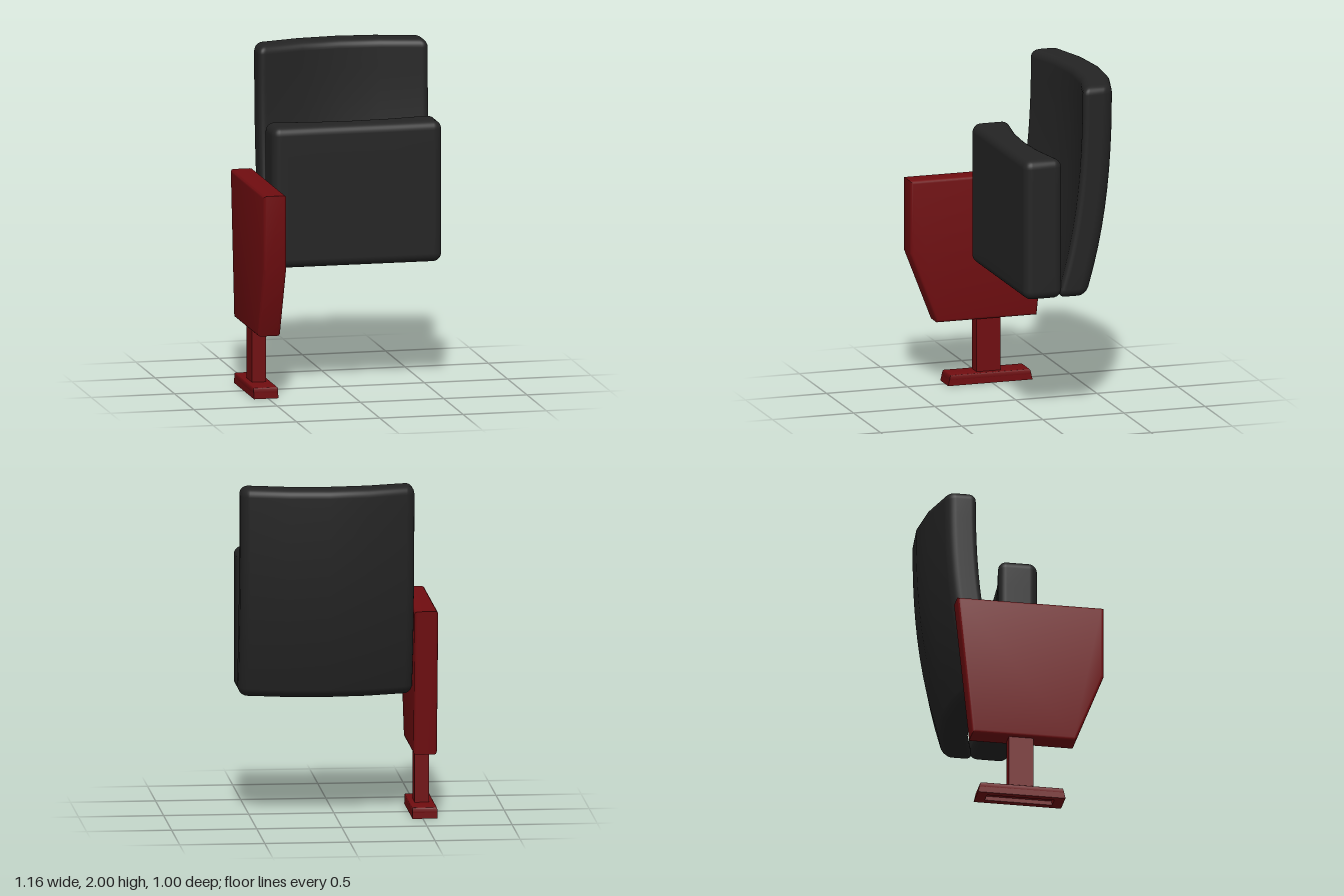
import * as THREE from 'three';
import { mergeVertices, toCreasedNormals } from 'three/addons/utils/BufferGeometryUtils.js';

const fabric = new THREE.MeshStandardMaterial({ color: 0x242424 });
fabric.name = 'blackFabric';
const paint = new THREE.MeshStandardMaterial({ color: 0x700d10 });
paint.name = 'redPaint';

function addMesh(group, name, geometry, material, x = 0, y = 0, z = 0) {
  const mesh = new THREE.Mesh(geometry, material);
  mesh.name = name;
  mesh.position.set(x, y, z);
  group.add(mesh);
  return mesh;
}

// Rounded box with subdivided faces, then shaped by bend(point)
function cushion(size, r, mid, bend) {
  const s = 4; // segments in each rounded corner
  const n = mid.map((m) => m + 2 * s);
  let geo = new THREE.BoxGeometry(...size, ...n);
  const pos = geo.attributes.position;
  const p = new THREE.Vector3(), inner = new THREE.Vector3();
  for (let i = 0; i < pos.count; i++) {
    p.fromBufferAttribute(pos, i);
    for (let a = 0; a < 3; a++) {
      const h = size[a] / 2;
      const k = Math.round((p.getComponent(a) / size[a] + 0.5) * n[a]);
      let v;
      if (k <= s) v = -h + (r * k) / s;
      else if (k >= n[a] - s) v = h - (r * (n[a] - k)) / s;
      else v = -h + r + ((size[a] - 2 * r) * (k - s)) / mid[a];
      p.setComponent(a, v);
      inner.setComponent(a, THREE.MathUtils.clamp(v, r - h, h - r));
    }
    p.sub(inner).setLength(r).add(inner);
    bend(p);
    pos.setXYZ(i, p.x, p.y, p.z);
  }
  geo.deleteAttribute('normal');
  geo.deleteAttribute('uv');
  geo = mergeVertices(geo, 1e-5);
  geo.computeVertexNormals();
  return geo;
}

// Extruded outline whose bevel stays inside the given outline and depth
function bevelled(shape, depth, bevel) {
  const geo = new THREE.ExtrudeGeometry(shape, {
    depth: depth - 2 * bevel, bevelEnabled: bevel > 0, bevelThickness: bevel,
    bevelSize: bevel, bevelOffset: -bevel, bevelSegments: 3,
  });
  geo.translate(0, 0, bevel - depth / 2);
  return toCreasedNormals(geo, 0.6);
}

function rectangle(w, h, Type = THREE.Shape) {
  return new Type([[-w, -h], [w, -h], [w, h], [-w, h]].map(([x, y]) => new THREE.Vector2(x / 2, y / 2)));
}

export function createModel() {
  const model = new THREE.Group();
  model.name = 'foldingAuditoriumSeat';

  // Backrest: wraps around the sitter and sweeps forward at the bottom
  addMesh(model, 'backrest', cushion([1.02, 1.26, 0.18], 0.05, [4, 10, 1], (p) => {
    p.z += 0.4 * p.x * p.x + 0.09 * Math.pow(Math.max(0, 0.63 - p.y), 2.5);
  }), fabric, 0.07, 1.37, -0.41);

  // Folded-up seat: its sitting face is scooped toward the free edge
  addMesh(model, 'foldedSeat', cushion([1.02, 0.84, 0.235], 0.052, [4, 6, 1], (p) => {
    if (p.z < 0) {
      const rise = THREE.MathUtils.clamp((p.y + 0.3) / 0.65, 0, 1);
      p.z += 0.055 * Math.max(0, 1 - (p.x / 0.48) ** 2) * rise;
    }
  }), fabric, 0.07, 1.16, 0.017);

  // Side panel with armrest top
  const outline = new THREE.Shape([
    [0.335, 0.385], [0.5, 0.81], [0.5, 1.25], [-0.37, 1.25], [-0.28, 0.385],
  ].map(([z, y]) => new THREE.Vector2(z, y)));
  const panel = bevelled(outline, 0.138, 0.018).rotateY(-Math.PI / 2);
  addMesh(model, 'sidePanel', panel, paint, -0.511, 0, 0);

  // Post
  addMesh(model, 'post', new THREE.BoxGeometry(0.085, 0.36, 0.146), paint, -0.512, 0.225, 0.012);

  // Foot: bevelled plate on a hollow rim, tapering upward
  const foot = new THREE.Group();
  foot.name = 'foot';
  foot.position.set(-0.512, 0, 0.01);
  model.add(foot);
  const rimShape = rectangle(0.146, 0.52);
  rimShape.holes.push(rectangle(0.07, 0.4, THREE.Path));
  const layers = [
    ['footRim', bevelled(rimShape, 0.036, 0), 0.018],
    ['footPlate', bevelled(rectangle(0.146, 0.52), 0.04, 0.009), 0.045],
  ];
  for (const [name, geo, y] of layers) {
    geo.rotateX(-Math.PI / 2).translate(0, y, 0);
    const pos = geo.attributes.position;
    for (let i = 0; i < pos.count; i++) pos.setZ(i, pos.getZ(i) * (1 - 0.9 * pos.getY(i)));
    addMesh(foot, name, geo, paint);
  }

  return model;
}
